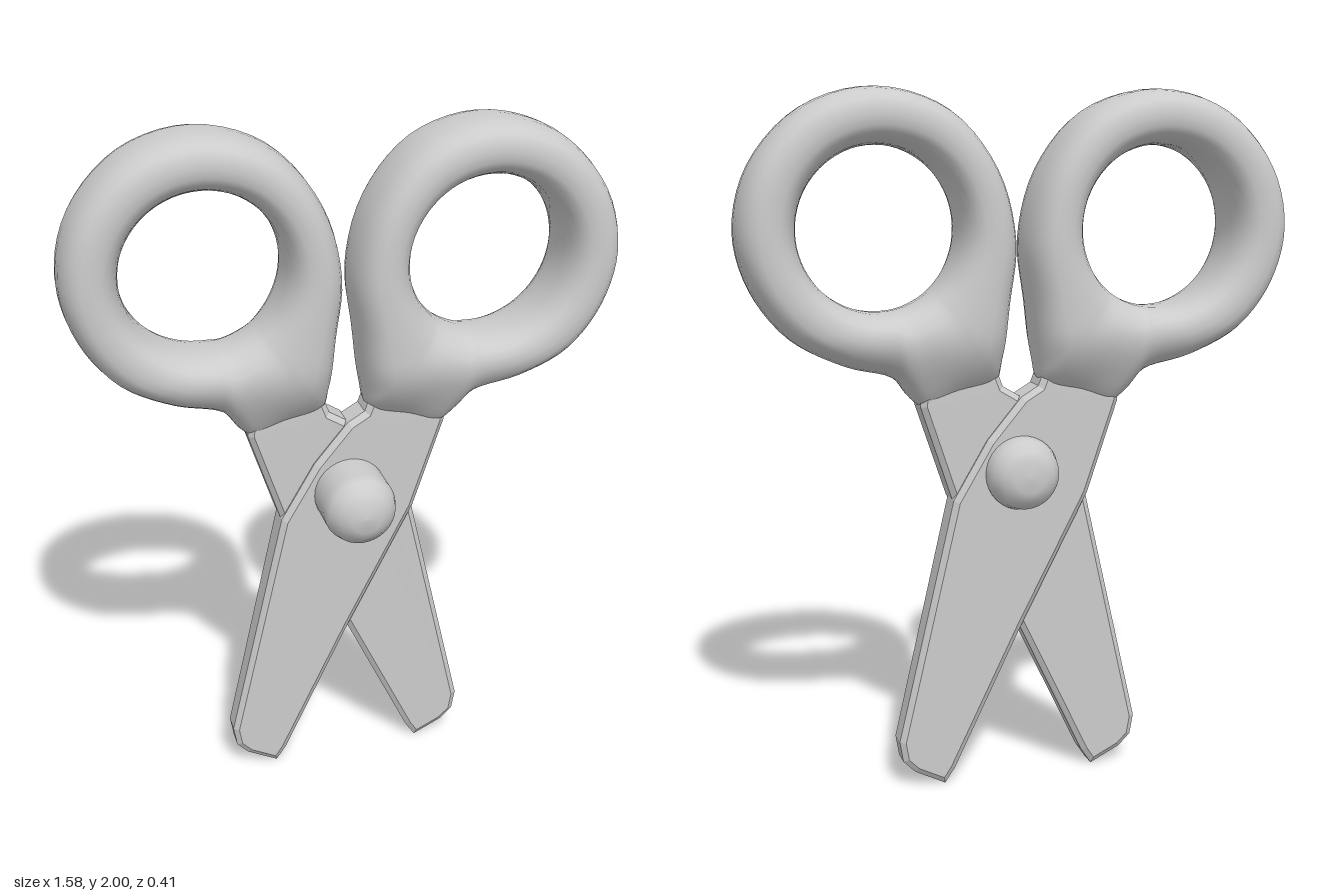
import * as THREE from 'three';

const material = new THREE.MeshStandardMaterial({ color: 0xcccccc });

function part(name, geometry) {
  const mesh = new THREE.Mesh(geometry, material);
  mesh.name = name;
  return mesh;
}

// Finger ring flowing into a neck: rounded sections between the round hole and the outer outline
function handleGeometry() {
  const centre = new THREE.Vector3(0.4, 1.615, 0), holeRadius = 0.228, halfDepth = 0.14;
  const outline = new THREE.CatmullRomCurve3([
    [0.79, 1.61], [0.745, 1.79], [0.6, 1.945], [0.4, 2], [0.2, 1.94], [0.065, 1.78],
    [0.012, 1.58], [0.03, 1.4], [0.048, 1.24], [0.065, 1.175], [0.17, 1.14], [0.265, 1.11],
    [0.31, 1.14], [0.36, 1.2], [0.5, 1.24], [0.65, 1.32], [0.75, 1.45],
  ].map(([x, y]) => new THREE.Vector3(x, y, 0)), true);
  const around = 85, sides = 24, positions = [], index = [];
  const soft = (v) => Math.sign(v) * Math.pow(Math.abs(v), 0.8);

  for (let i = 0; i < around; i++) {
    const outer = outline.getPoint(i / around);
    const inner = outer.clone().sub(centre).setLength(holeRadius).add(centre);
    for (let j = 0; j < sides; j++) {
      const a = (j / sides) * Math.PI * 2;
      const p = inner.clone().lerp(outer, 0.5 + 0.5 * soft(Math.cos(a)));
      // the neck gets thinner towards the blade
      const depth = THREE.MathUtils.lerp(0.08, halfDepth, THREE.MathUtils.smoothstep(p.y, 1.13, 1.33));
      positions.push(p.x, p.y, depth * soft(Math.sin(a)));
      const i2 = (i + 1) % around, j2 = (j + 1) % sides;
      const q = [i * sides + j, i2 * sides + j, i2 * sides + j2, i * sides + j2];
      index.push(q[0], q[1], q[2], q[0], q[2], q[3]);
    }
  }
  const geometry = new THREE.BufferGeometry();
  geometry.setAttribute('position', new THREE.Float32BufferAttribute(positions, 3));
  geometry.setIndex(index);
  geometry.computeVertexNormals();
  return geometry;
}

// Bevelled blade plate, thinner towards the tip
function bladeGeometry() {
  const shape = new THREE.Shape([
    [-0.23, 0], [-0.2, 0.045], [0, 0.46], [0.2, 0.85], [0.29, 1.12], [0.28, 1.25], [0.08, 1.25],
    [0.05, 1.17], [0, 1.14], [-0.1, 1.02], [-0.2, 0.85], [-0.365, 0.14], [-0.355, 0.08], [-0.32, 0.045],
  ].map(([x, y]) => new THREE.Vector2(x, y)));
  const geometry = new THREE.ExtrudeGeometry(shape, {
    depth: 0.078, bevelEnabled: true, bevelThickness: 0.016, bevelSize: 0.016, bevelOffset: -0.016, bevelSegments: 1,
  });
  geometry.translate(0, 0, -0.039);
  const pos = geometry.attributes.position;
  for (let i = 0; i < pos.count; i++) {
    const taper = THREE.MathUtils.lerp(0.72, 1, Math.min(pos.getY(i) / 1.1, 1));
    pos.setZ(i, pos.getZ(i) * taper);
  }
  geometry.computeVertexNormals();
  return geometry;
}

export function createModel() {
  const model = new THREE.Group();
  model.name = 'scissors';

  // Two identical halves, the second turned half a circle about the upright axis
  const handle = handleGeometry(), blade = bladeGeometry();
  for (const [name, turn] of [['leftHalf', 0], ['rightHalf', Math.PI]]) {
    const half = new THREE.Group();
    half.name = name;
    const ring = part('handle', handle);
    ring.position.z = 0.015;
    const plate = part('blade', blade);
    plate.position.z = 0.01;
    half.add(ring, plate);
    half.rotation.y = turn;
    half.position.z = -0.05;
    model.add(half);
  }

  // Round-ended pivot bolt through both blades
  const profile = [
    [0, -0.2], [0.045, -0.197], [0.075, -0.185], [0.098, -0.155], [0.107, -0.12],
    [0.107, 0.12], [0.098, 0.15], [0.075, 0.178], [0.045, 0.197], [0, 0.202],
  ].map(([r, y]) => new THREE.Vector2(r, y));
  const bolt = part('pivotBolt', new THREE.LatheGeometry(profile, 32));
  bolt.rotation.x = Math.PI / 2;
  bolt.position.set(0.003, 0.923, 0);
  model.add(bolt);

  return model;
}
